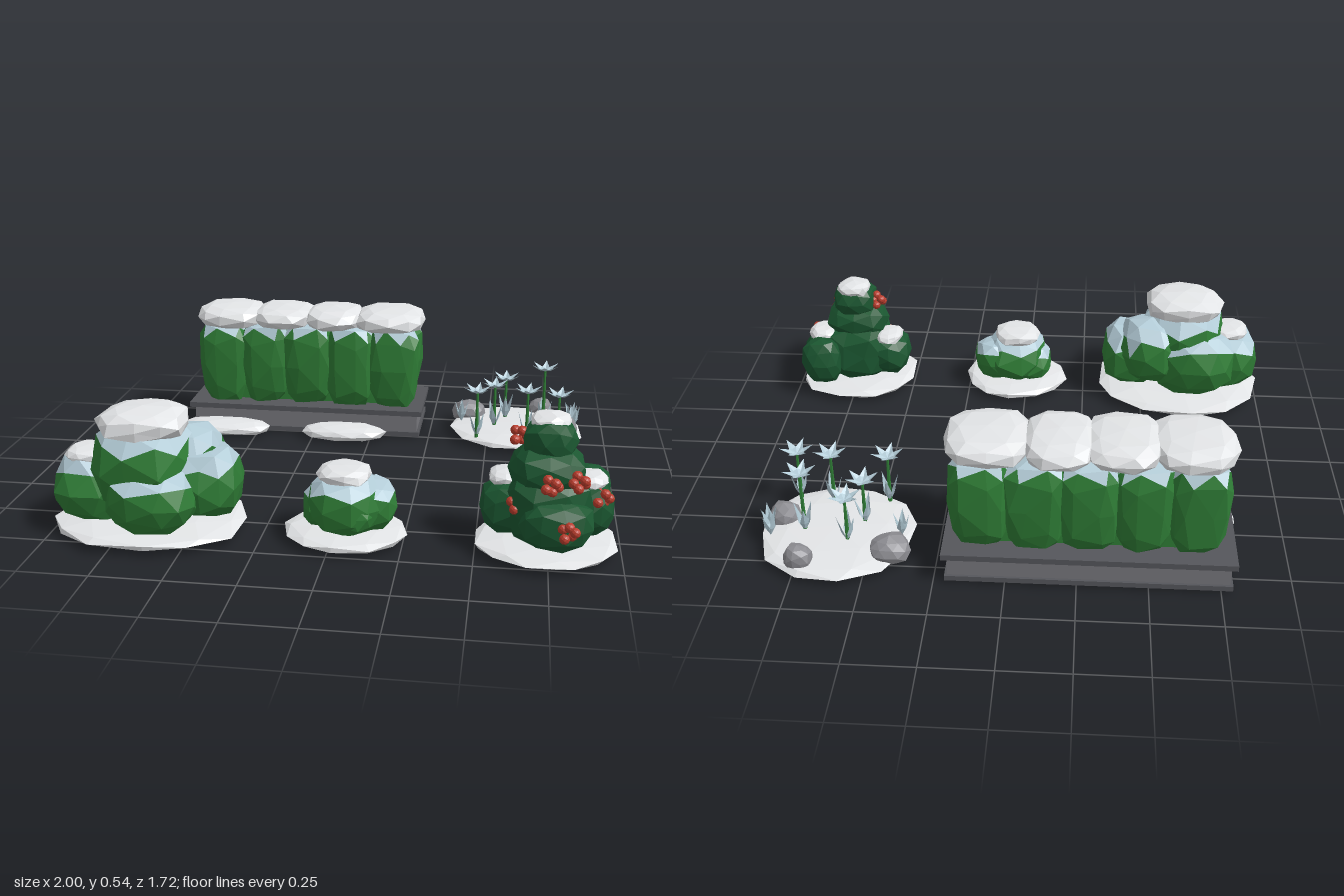
import * as THREE from 'three';

const mat = (name, color, side = THREE.FrontSide) => {
  const m = new THREE.MeshStandardMaterial({ color, side });
  m.name = name;
  return m;
};

export function createModel() {
  const snow = mat('snow', 0xe4e6e8);
  const frost = mat('frost', 0xb4cdd8, THREE.DoubleSide);
  const leaf = mat('hedge green', 0x2f7d36);
  const holly = mat('holly green', 0x1b5731);
  const stone = mat('planter stone', 0x77777c);
  const rim = mat('planter rim', 0x55565b);
  const rock = mat('rock', 0x8d8d92);
  const red = mat('berry red', 0xb83c2c);

  const model = new THREE.Group();
  model.name = 'winterGarden';
  const section = (name) => {
    const g = new THREE.Group();
    g.name = name;
    model.add(g);
    return g;
  };
  const add = (parent, name, geo, material, x = 0, y = 0, z = 0) => {
    const m = new THREE.Mesh(geo, material);
    m.name = name;
    m.position.set(x, y, z);
    parent.add(m);
    return m;
  };
  const flat = (geo) => {
    const g = geo.index ? geo.toNonIndexed() : geo;
    g.computeVertexNormals();
    return g;
  };

  // Faceted lump: jittered icosahedron, optional boxy shape, floor and frosted upper faces
  const hash = (x, y, z, s) => {
    const v = Math.sin(Math.round(x * 100) * 1.27 + Math.round(y * 100) * 3.11 + Math.round(z * 100) * 7.47 + s * 17.3) * 4375.85;
    return v - Math.floor(v);
  };
  const lump = (parent, name, [x, y, z], [rx, ry, rz], material, seed,
    { jitter = 0.14, power = 0.8, floor = -9, level = 9, detail = 1 } = {}) => {
    const src = new THREE.IcosahedronGeometry(1, detail).rotateY(seed * 0.9).attributes.position;
    const faces = [[], []];
    const v = new THREE.Vector3();
    for (let i = 0; i < src.count; i += 3) {
      const pts = [];
      let high = 0;
      for (let k = 0; k < 3; k++) {
        v.fromBufferAttribute(src, i + k);
        const s = 1.04 - jitter * hash(v.x, v.y, v.z, seed);
        high += v.y * s / 3;
        const shape = (c) => Math.sign(c) * Math.abs(c) ** power * s;
        pts.push(shape(v.x) * rx, Math.max(shape(v.y) * ry, floor - y), shape(v.z) * rz);
      }
      faces[high > level ? 1 : 0].push(...pts);
    }
    const geo = new THREE.BufferGeometry();
    geo.setAttribute('position', new THREE.Float32BufferAttribute(faces.flat(), 3));
    geo.addGroup(0, faces[0].length / 3, 0);
    geo.addGroup(faces[0].length / 3, faces[1].length / 3, 1);
    geo.computeVertexNormals();
    return add(parent, name, geo, [material, frost], x, y, z);
  };
  const drift = (parent, x, z, rx, rz, seed, top = 0.058) =>
    lump(parent, 'snowDrift', [x, 0.03, z], [rx, top - 0.03, rz], snow, seed, { jitter: 0.1, power: 0.9, floor: 0.012 });

  // Planter with rim
  const planter = section('hedgePlanter');
  add(planter, 'planterBase', new THREE.BoxGeometry(0.98, 0.1, 0.34), stone, -0.29, 0.06, -0.65);
  add(planter, 'planterRim', new THREE.BoxGeometry(1.02, 0.022, 0.375), rim, -0.29, 0.115, -0.65);
  add(planter, 'planterFoot', new THREE.BoxGeometry(1.0, 0.02, 0.36), rim, -0.29, 0.02, -0.65);
  drift(planter, -0.635, -0.44, 0.205, 0.085, 1, 0.065);
  drift(planter, -0.115, -0.44, 0.185, 0.085, 2, 0.065);

  // Hedge: two rows of tall lumps under snow caps
  const hedge = section('hedge');
  add(hedge, 'hedgeCore', new THREE.BoxGeometry(0.8, 0.3, 0.2), leaf, -0.29, 0.28, -0.65);
  for (let i = 0; i < 5; i++) {
    for (const row of [-1, 1]) {
      const m = lump(hedge, 'hedgeLump', [-0.66 + i * 0.187, 0.29, -0.65 + row * 0.075], [0.122, 0.19, 0.092], leaf, i * 2 + row + 3,
        { power: 0.6, level: 0.68, jitter: 0.12 });
      // Narrow each lump toward the planter
      const p = m.geometry.attributes.position;
      for (let k = 0; k < p.count; k++) {
        const t = 0.92 + 0.45 * Math.min(p.getY(k), 0.12);
        p.setX(k, p.getX(k) * t);
        p.setZ(k, p.getZ(k) * t);
      }
      m.geometry.computeVertexNormals();
    }
  }
  [[-0.635, 0.152], [-0.4, 0.138], [-0.18, 0.13], [0.065, 0.155]].forEach(([x, r], i) =>
    lump(hedge, 'hedgeSnowCap', [x, 0.49, -0.645], [r, 0.05, 0.165], snow, i + 4, { jitter: 0.08, power: 0.75 }));

  // Large frosted bush
  const big = section('largeBush');
  drift(big, -0.66, 0.565, 0.345, 0.3, 3);
  [
    [[-0.67, 0.25, 0.58], [0.185, 0.18, 0.2], 0.5],
    [[-0.86, 0.16, 0.58], [0.145, 0.135, 0.15], 0.45],
    [[-0.62, 0.15, 0.68], [0.17, 0.12, 0.13], 0.4],
    [[-0.46, 0.18, 0.55], [0.135, 0.14, 0.15], 0.35],
    [[-0.53, 0.23, 0.5], [0.14, 0.15, 0.14], 0.3],
    [[-0.72, 0.18, 0.48], [0.17, 0.16, 0.13], 0.4],
  ].forEach(([c, r, level], i) => lump(big, 'bushLump', c, r, leaf, i + 11, { level, floor: 0.045 }));
  lump(big, 'bushSnowCap', [-0.67, 0.405, 0.58], [0.17, 0.055, 0.16], snow, 21);
  lump(big, 'bushSnowPatch', [-0.87, 0.28, 0.59], [0.085, 0.03, 0.09], snow, 22);

  // Small frosted bush
  const small = section('smallBush');
  drift(small, 0.045, 0.57, 0.22, 0.2, 4);
  [
    [[0.05, 0.14, 0.58], [0.145, 0.11, 0.14]],
    [[-0.02, 0.12, 0.56], [0.095, 0.08, 0.1]],
    [[0.13, 0.13, 0.56], [0.1, 0.09, 0.11]],
    [[0.06, 0.12, 0.63], [0.11, 0.075, 0.085]],
  ].forEach(([c, r], i) => lump(small, 'bushLump', c, r, leaf, i + 31, { level: 0.45, floor: 0.045 }));
  lump(small, 'bushSnowCap', [0.04, 0.24, 0.57], [0.1, 0.033, 0.1], snow, 35);

  // Holly bush
  const hollyBush = section('hollyBush');
  drift(hollyBush, 0.74, 0.57, 0.255, 0.235, 5);
  [
    [[0.74, 0.17, 0.57], [0.16, 0.14, 0.16]],
    [[0.61, 0.15, 0.55], [0.1, 0.095, 0.11]],
    [[0.88, 0.15, 0.53], [0.095, 0.1, 0.11]],
    [[0.88, 0.16, 0.43], [0.085, 0.11, 0.075]],
    [[0.77, 0.14, 0.68], [0.13, 0.095, 0.09]],
    [[0.74, 0.3, 0.58], [0.135, 0.085, 0.125]],
    [[0.74, 0.4, 0.56], [0.095, 0.075, 0.095]],
  ].forEach(([c, r], i) => lump(hollyBush, 'hollyLump', c, r, holly, i + 41, { floor: 0.05 }));
  lump(hollyBush, 'hollySnowCap', [0.74, 0.455, 0.545], [0.072, 0.033, 0.07], snow, 51);
  lump(hollyBush, 'hollySnowPatch', [0.88, 0.25, 0.53], [0.065, 0.028, 0.075], snow, 52);
  lump(hollyBush, 'hollySnowPatch', [0.595, 0.245, 0.52], [0.06, 0.024, 0.075], snow, 53);

  // Berry clusters
  const berry = flat(new THREE.IcosahedronGeometry(0.018, 1));
  [[0.64, 0.4, 0.54], [0.75, 0.29, 0.72], [0.84, 0.3, 0.7], [0.64, 0.2, 0.66], [0.81, 0.15, 0.77], [0.925, 0.21, 0.6]]
    .forEach(([x, y, z], i) => {
      for (let k = 0; k < 5; k++) {
        const a = k * 1.257 + i;
        add(hollyBush, 'berry', berry, red, x + Math.cos(a) * 0.021, y + Math.sin(a) * 0.02, z + Math.sin(a * 2) * 0.018);
      }
    });

  // Flower patch with rocks
  const patch = section('flowerPatch');
  drift(patch, 0.625, -0.6, 0.29, 0.275, 6, 0.056);
  [[0.415, -0.72, 0.077], [0.73, -0.79, 0.053], [0.83, -0.55, 0.06]].forEach(([x, z, r], i) =>
    lump(patch, 'rock', [x, 0.055, z], [r, 0.055, r * 0.9], rock, i + 61, { floor: 0, power: 0.9 }));

  // Folded pointed blade along +y
  const blade = (len, w) => {
    const g = new THREE.BufferGeometry();
    const m = len * 0.4, d = w * 0.4;
    g.setAttribute('position', new THREE.Float32BufferAttribute([
      0, 0, 0, w, m, 0, 0, m, d, 0, 0, 0, 0, m, d, -w, m, 0,
      w, m, 0, 0, len, 0, 0, m, d, 0, m, d, 0, len, 0, -w, m, 0], 3));
    g.computeVertexNormals();
    return g;
  };
  const whorl = (name, count, geo, tilt, x, y, z, turn) => {
    for (let k = 0; k < count; k++) {
      const m = add(patch, name, geo, frost, x, y, z);
      m.rotation.order = 'YXZ';
      m.rotation.set(tilt, turn + k * 2 * Math.PI / count, 0);
    }
  };
  const petal = blade(0.07, 0.015), spike = blade(0.125, 0.016), sprig = blade(0.1, 0.016);

  // Frosted star flowers
  [[0.575, -0.67, 0.22], [0.53, -0.56, 0.22], [0.74, -0.62, 0.285], [0.46, -0.42, 0.235], [0.67, -0.43, 0.24], [0.8, -0.41, 0.235]]
    .forEach(([x, z, h], i) => {
      add(patch, 'stem', flat(new THREE.CylinderGeometry(0.005, 0.009, h - 0.03, 5)), leaf, x, (h + 0.03) / 2, z);
      whorl('petal', 6, petal, 1.1, x, h, z, i);
      whorl('baseLeaf', 3, spike, 0.3, x, 0.04, z, i * 1.7);
    });
  [[0.385, -0.62], [0.86, -0.65], [0.87, -0.61]].forEach(([x, z], i) => whorl('sprig', 4, sprig, 0.3, x, 0.04, z, i));

  return model;
}
